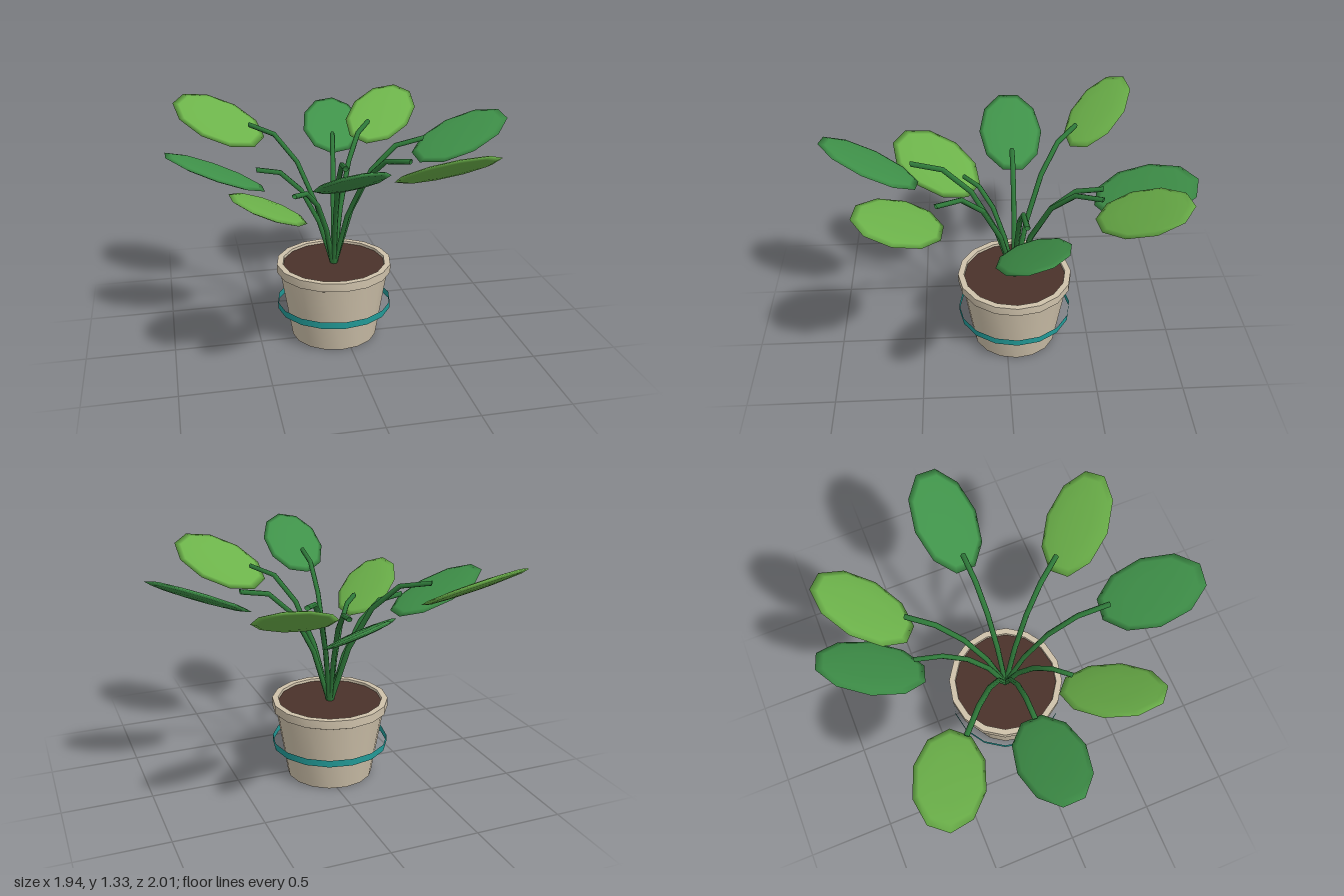
import * as THREE from 'three';
import { toCreasedNormals } from 'three/addons/utils/BufferGeometryUtils.js';

const mat = (name, color, side = THREE.FrontSide) => {
  const m = new THREE.MeshStandardMaterial({ color, side });
  m.name = name;
  return m;
};

// Each leaf: centre, heading of its long axis (x, z), and the slope of its plane along x and z
const LEAVES = [
  { c: [0.70, 1.16, -0.095], dir: [1, -0.04], slope: [0.42, -0.30], tone: 'dark' },
  { c: [0.08, 1.09, -0.75], dir: [0.39, -0.92], slope: [-0.30, -0.48], tone: 'dark' },
  { c: [0.38, 1.165, -0.68], dir: [0.71, -0.70], slope: [0.05, -0.56], tone: 'light' },
  { c: [-0.12, 1.20, 0.74], dir: [-0.21, 0.98], slope: [0.13, 0.50], tone: 'dark' },
  { c: [0.41, 1.17, 0.555], dir: [0.72, 0.695], slope: [0.05, 0.57], tone: 'light' },
  { c: [-0.475, 0.97, 0.39], dir: [-0.57, 0.82], slope: [-0.52, 0.10], tone: 'light' },
  { c: [-0.645, 1.20, -0.58], dir: [-0.86, -0.51], slope: [-0.18, -0.52], tone: 'light' },
  { c: [-0.71, 1.04, -0.065], dir: [-1, 0], slope: [-0.43, 0.04], tone: 'dark' },
];

const POT_X = -0.052, POT_Z = -0.053, SIDES = 16;

export function createModel() {
  const model = new THREE.Group();
  model.name = 'pottedPlant';

  const clay = mat('clay', 0xcfc2ab);
  const earth = mat('earth', 0x4a322a);
  const teal = mat('teal', 0x229a97, THREE.DoubleSide);
  const stemGreen = mat('stemGreen', 0x2f7a3a, THREE.DoubleSide);
  const leafGreen = { dark: mat('darkLeafGreen', 0x3f9149), light: mat('lightLeafGreen', 0x6cb24a) };

  const add = (name, geometry, material, parent = model) => {
    const mesh = new THREE.Mesh(geometry, material);
    mesh.name = name;
    parent.add(mesh);
    return mesh;
  };

  // Pot: tapered body, rim lip and hollow top
  const potGroup = new THREE.Group();
  potGroup.name = 'potGroup';
  potGroup.position.set(POT_X, 0, POT_Z);
  model.add(potGroup);
  const profile = [[0, 0], [0.25, 0], [0.315, 0.40], [0.335, 0.41], [0.335, 0.46], [0.30, 0.46], [0.295, 0.42]]
    .map(([r, y]) => new THREE.Vector2(r, y));
  add('pot', toCreasedNormals(new THREE.LatheGeometry(profile, SIDES), 0.5), clay, potGroup);

  // Soil disc
  const soil = add('soil', new THREE.CircleGeometry(0.3, SIDES), earth, potGroup);
  soil.rotation.x = -Math.PI / 2;
  soil.position.y = 0.445;

  // Loose hoop around the pot
  const band = add('band', new THREE.CylinderGeometry(0.335, 0.335, 0.04, SIDES, 1, true), teal, potGroup);
  band.position.y = 0.2;

  // Leaf blade: flattened ten-sided ellipsoid, long axis along z
  const blade = new THREE.SphereGeometry(1, 10, 6).scale(0.19, 0.018, 0.30);

  LEAVES.forEach(({ c, dir, slope, tone }) => {
    const centre = new THREE.Vector3(...c);

    // Stem: arching tube that ends a little before the leaf centre
    const out = new THREE.Vector3(c[0] - POT_X, 0, c[2] - POT_Z);
    const reach = out.length() - 0.225;
    out.normalize();
    const at = (r, y) => new THREE.Vector3(POT_X + out.x * r, y, POT_Z + out.z * r);
    const curve = new THREE.QuadraticBezierCurve3(at(0, 0.42), at(reach * 0.35, c[1] + 0.04), at(reach, c[1]));
    curve.getUtoTmapping = (u) => u; // keeps the bends closer together near the tip
    add('stem', new THREE.TubeGeometry(curve, 4, 0.015, 6), stemGreen);

    // Leaf oriented by its plane and heading
    const [p, q] = slope;
    const normal = new THREE.Vector3(-p, 1, -q).normalize();
    const along = new THREE.Vector3(dir[0], p * dir[0] + q * dir[1], dir[1]).normalize();
    const across = new THREE.Vector3().crossVectors(normal, along);
    const leaf = add('leaf', blade, leafGreen[tone]);
    leaf.quaternion.setFromRotationMatrix(new THREE.Matrix4().makeBasis(across, normal, along));
    leaf.position.copy(centre);
  });

  return model;
}
